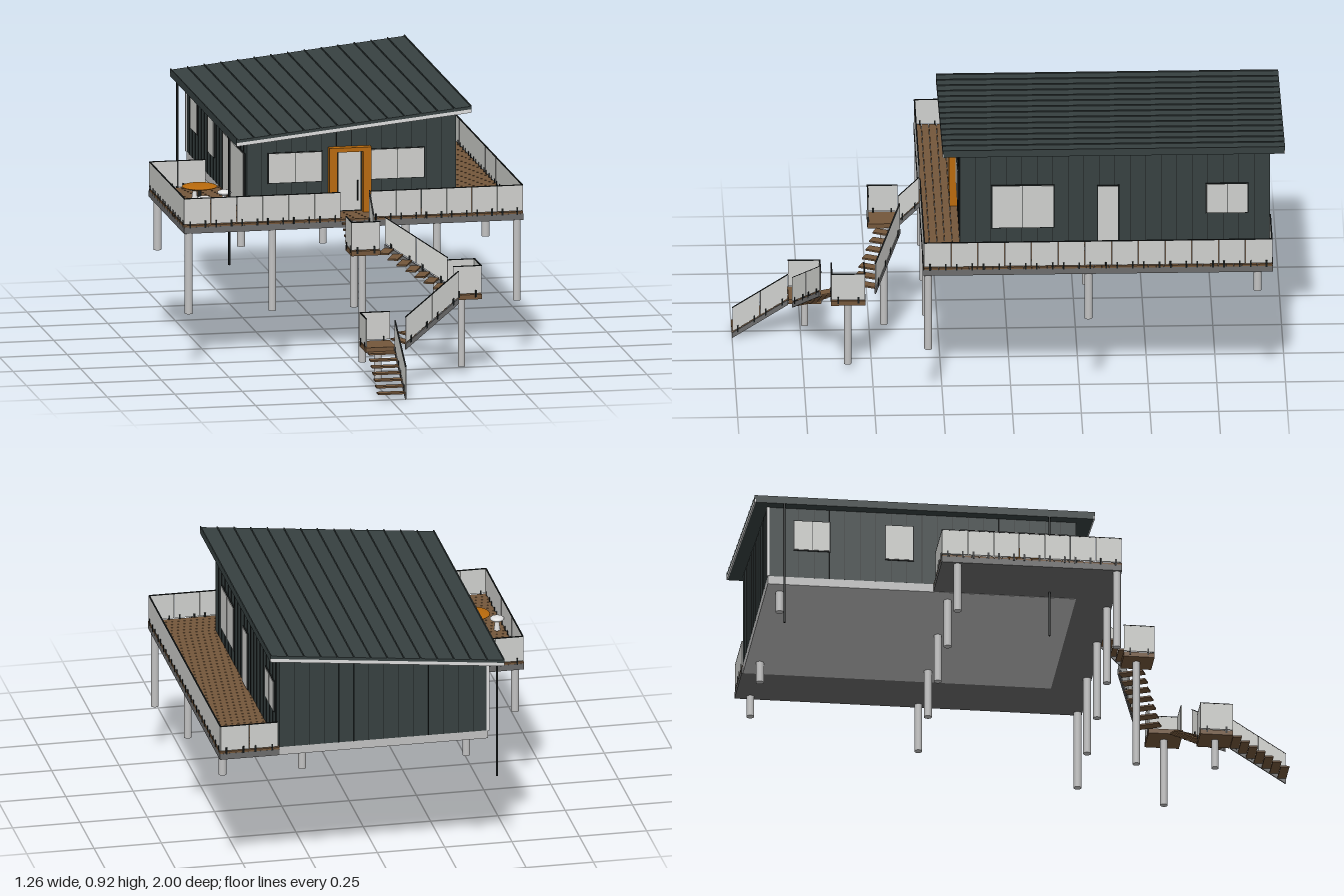
import * as THREE from 'three';

const mat = (name, color) => Object.assign(new THREE.MeshStandardMaterial({ color }), { name });
const M = {
  cladding: mat('dark cladding', 0x374141),
  seam: mat('black metal', 0x171b1b),
  glass: mat('pale glass', 0xcfd0cd),
  post: mat('pale concrete', 0xc2c2c2),
  frame: mat('grey steel', 0x6c6c6c),
  wood: mat('deck wood', 0x74573b),
  orange: mat('orange timber', 0xb96a0c),
  white: mat('white paint', 0xdedede),
};

// Box given by its minimum and maximum corners
function box(parent, name, m, x0, x1, y0, y1, z0, z1) {
  const mesh = new THREE.Mesh(new THREE.BoxGeometry(x1 - x0, y1 - y0, z1 - z0), m);
  mesh.position.set((x0 + x1) / 2, (y0 + y1) / 2, (z0 + z1) / 2);
  mesh.name = name;
  parent.add(mesh);
  return mesh;
}

// Polygon in x,y pushed along z
function prism(parent, name, m, pts, z0, z1) {
  const shape = new THREE.Shape(pts.map(p => new THREE.Vector2(...p)));
  const mesh = new THREE.Mesh(new THREE.ExtrudeGeometry(shape, { depth: z1 - z0, bevelEnabled: false }), m);
  mesh.position.z = z0;
  mesh.name = name;
  parent.add(mesh);
  return mesh;
}

function cylinder(parent, name, m, x, z, y0, y1, r, r2 = r) {
  const mesh = new THREE.Mesh(new THREE.CylinderGeometry(r2, r, y1 - y0, 16), m);
  mesh.position.set(x, (y0 + y1) / 2, z);
  mesh.name = name;
  parent.add(mesh);
}

// Group whose local x runs from a towards b on plan
function along(parent, name, a, b) {
  const g = new THREE.Group();
  const dx = b[0] - a[0], dz = b[2] - a[2];
  g.name = name;
  g.position.set(...a);
  g.rotation.y = Math.atan2(-dz, dx);
  parent.add(g);
  return { g, len: Math.hypot(dx, dz), rise: b[1] - a[1] };
}

// Glass balustrade with cap and foot clips; works level or sloping
function railing(parent, name, a, b, h = 0.1) {
  const { g, len, rise } = along(parent, name, a, b);
  const n = Math.max(1, Math.round(len / 0.1));
  const y = s => rise * s / len;
  const strip = (label, m, s0, s1, lo, hi, t) => prism(g, label, m,
    [[s0, y(s0) + lo], [s1, y(s1) + lo], [s1, y(s1) + hi], [s0, y(s0) + hi]], -t, t);
  for (let i = 0; i < n; i++) {
    const s0 = i * len / n + 0.001, s1 = (i + 1) * len / n - 0.001, w = s1 - s0;
    strip('glassPanel', M.glass, s0, s1, 0.004, h - 0.002, 0.002);
    for (const f of [0.2, 0.8]) {
      const s = s0 + w * f;
      strip('clip', M.seam, s - 0.003, s + 0.003, -0.01, 0.016, 0.004);
    }
  }
  strip('cap', M.seam, 0, len, h - 0.002, h + 0.001, 0.0025);
}

// Flight of open treads with a stringer and balustrade on one side
function flight(parent, name, a, b, n, width) {
  const { g, len, rise } = along(parent, name, a, b);
  for (let i = 0; i < n; i++) {
    const s = (i + 0.5) * len / n, y = rise * (i + 0.6) / n;
    box(g, 'tread', M.wood, s - len / n * 0.55, s + len / n * 0.55, y - 0.006, y, -width / 2, width / 2);
  }
  const side = -width / 2 - 0.002;
  prism(g, 'stringer', M.frame, [[0, -0.018], [len, rise - 0.018], [len, rise + 0.002], [0, 0.002]], side - 0.003, side + 0.003);
  railing(g, 'flightRailing', [0, 0.003, side], [len, rise + 0.003, side]);
}

// Window or glazed door on a wall facing x or z, split into panes
function glazing(parent, name, axis, at, out, u0, u1, y0, y1, panes) {
  const plate = (label, m, a, b, lo, hi, t) => {
    const d0 = Math.min(at, at + out * t), d1 = Math.max(at, at + out * t);
    if (axis === 'z') box(parent, label, m, a, b, lo, hi, d0, d1);
    else box(parent, label, m, d0, d1, lo, hi, a, b);
  };
  plate(name + 'Frame', M.seam, u0 - 0.003, u1 + 0.003, y0 - 0.003, y1 + 0.003, 0.005);
  const w = (u1 - u0) / panes;
  for (let i = 0; i < panes; i++)
    plate(name, M.glass, u0 + i * w + 0.001, u0 + (i + 1) * w - 0.001, y0, y1, 0.007);
}

const X0 = -0.37, X1 = 0.405, Z0 = -0.946, Z1 = 0.182, FLOOR = 0.53;
const SLOPE = 0.09 / 0.87;
const eave = x => 0.8 + (x + 0.42) * SLOPE;
const roofBand = (lo, hi) => [[-0.42, eave(-0.42) + lo], [0.45, eave(0.45) + lo], [0.45, eave(0.45) + hi], [-0.42, eave(-0.42) + hi]];

function buildHouse(root) {
  const house = new THREE.Group();
  house.name = 'house';
  root.add(house);
  box(house, 'floorSlab', M.post, X0, X1, 0.499, FLOOR, Z0, Z1);
  prism(house, 'walls', M.cladding, [[X0, FLOOR], [X1, FLOOR], [X1, eave(X1)], [X0, eave(X0)]], Z0, Z1);

  // Vertical cladding seams
  for (let i = 1; i < 14; i++) {
    const x = X0 + (X1 - X0) * i / 14;
    for (const z of [Z0, Z1]) box(house, 'claddingSeam', M.seam, x - 0.001, x + 0.001, FLOOR, eave(x), z - 0.002, z + 0.002);
  }
  for (let i = 1; i < 20; i++) {
    const z = Z0 + (Z1 - Z0) * i / 20;
    for (const x of [X0, X1]) box(house, 'claddingSeam', M.seam, x - 0.002, x + 0.002, FLOOR, eave(x), z - 0.001, z + 0.001);
  }
  box(house, 'cornerTrim', M.white, X0 - 0.004, X0 + 0.006, FLOOR, eave(X0), Z0 - 0.004, Z0 + 0.006);

  // Roof with standing seams and pale gable trim
  prism(house, 'roof', M.cladding, roofBand(0, 0.024), -0.996, 0.241);
  for (const z of [-1, 0.241]) prism(house, 'gableTrim', M.white, roofBand(0, 0.013), z, z + 0.004);
  for (const z of [-1, 0.241]) prism(house, 'roofEdge', M.cladding, roofBand(0.013, 0.024), z, z + 0.004);
  for (let i = 0; i <= 14; i++) {
    const x = -0.418 + 0.866 * i / 14;
    box(house, 'roofSeam', M.cladding, x - 0.002, x + 0.002, eave(x) + 0.022, eave(x) + 0.028, -1, 0.245);
  }
  for (const z of [-0.89, 0.08]) cylinder(house, 'downpipe', M.seam, -0.415, z, 0.325, 0.805, 0.004);

  // Windows
  glazing(house, 'frontWindow', 'z', Z1, 1, -0.29, -0.093, 0.647, 0.755, 2);
  glazing(house, 'frontWindow', 'z', Z1, 1, 0.09, 0.287, 0.647, 0.755, 2);
  glazing(house, 'sideWindow', 'x', X1, 1, -0.16, 0.065, 0.59, 0.755, 2);
  glazing(house, 'sideDoor', 'x', X1, 1, -0.395, -0.32, 0.535, 0.75, 1);
  glazing(house, 'sideWindow', 'x', X1, 1, -0.865, -0.715, 0.64, 0.753, 2);
  glazing(house, 'backWindow', 'x', X0, -1, -0.85, -0.72, 0.64, 0.753, 2);
  glazing(house, 'bathWindow', 'x', X0, -1, -0.515, -0.415, 0.62, 0.753, 1);
  glazing(house, 'slidingDoor', 'x', X0, -1, -0.24, 0.15, 0.535, 0.75, 4);

  // Front door in an orange surround
  glazing(house, 'frontDoor', 'z', Z1, 1, -0.033, 0.05, 0.535, 0.75, 1);
  box(house, 'doorHandle', M.seam, 0.037, 0.041, 0.57, 0.645, Z1 + 0.007, Z1 + 0.015);
  box(house, 'doorJamb', M.orange, -0.069, -0.039, FLOOR, 0.757, Z1, 0.21);
  box(house, 'doorJamb', M.orange, 0.056, 0.086, FLOOR, 0.757, Z1, 0.21);
  box(house, 'doorHead', M.orange, -0.069, 0.086, 0.755, 0.771, Z1, 0.212);
}

function buildDeck(root) {
  const deck = new THREE.Group();
  deck.name = 'deck';
  root.add(deck);
  const areas = [[-0.63, X0, -0.34, Z1], [X1, 0.627, -0.95, Z1], [-0.63, 0.627, Z1, 0.32]];
  for (const [x0, x1, z0, z1] of areas) {
    box(deck, 'deckFrame', M.frame, x0, x1, 0.5, 0.523, z0, z1);
    const n = Math.round((z1 - z0) / 0.028), w = (z1 - z0) / n;
    for (let i = 0; i < n; i++)
      box(deck, 'plank', M.wood, x0, x1, 0.523, FLOOR, z0 + i * w + 0.0007, z0 + (i + 1) * w - 0.0007);
  }
  // Balustrades, open at the stairs
  const y = FLOOR, L = -0.627, R = 0.624, F = 0.317;
  const runs = [[L, -0.337, -0.42, -0.337], [L, -0.337, L, F], [L, F, -0.05, F],
    [0.062, F, R, F], [R, F, R, -0.947], [R, -0.947, 0.41, -0.947]];
  for (const [ax, az, bx, bz] of runs) railing(deck, 'deckRailing', [ax, y, az], [bx, y, bz]);

  // Pillars follow the rising ground
  const rows = [[0.303, 0.2, [-0.61, -0.3, 0.003, 0.31, 0.606]],
    [-0.28, 0.315, [-0.61, -0.3, 0.003, 0.31, 0.606]], [-0.895, 0.42, [-0.3, 0.31, 0.606]]];
  for (const [z, y0, xs] of rows) for (const x of xs) cylinder(deck, 'pillar', M.post, x, z, y0, 0.502, 0.0145);

  // Round table and stools
  const cx = -0.505, cz = -0.022;
  const top = new THREE.Mesh(new THREE.SphereGeometry(0.065, 32, 12), M.orange);
  top.name = 'tableTop';
  top.scale.y = 0.13;
  top.position.set(cx, 0.6, cz);
  deck.add(top);
  cylinder(deck, 'tableLeg', M.seam, cx, cz, FLOOR, 0.6, 0.008);
  for (let i = 0; i < 4; i++) {
    const a = i * Math.PI / 2, x = cx + Math.cos(a) * 0.092, z = cz + Math.sin(a) * 0.092;
    const seat = new THREE.Mesh(new THREE.SphereGeometry(0.026, 16, 10), M.white);
    seat.name = 'stoolSeat';
    seat.scale.y = 0.4;
    seat.position.set(x, 0.574, z);
    deck.add(seat);
    cylinder(deck, 'stoolLeg', M.white, x, z, FLOOR, 0.575, 0.012, 0.006);
  }
}

function buildStairs(root) {
  const stairs = new THREE.Group();
  stairs.name = 'stairs';
  root.add(stairs);
  // Landings: extents, top height, post, railed edges
  const landings = [
    [-0.047, 0.06, 0.395, 0.508, 0.45, [0.005, 0.447], ['front', 'left']],
    [0.283, 0.408, 0.525, 0.65, 0.302, [0.345, 0.588], ['front', 'right', 'back']],
    [-0.051, 0.062, 0.675, 0.795, 0.152, [0.005, 0.735], ['back', 'left']],
  ];
  for (const [x0, x1, z0, z1, y, [px, pz], edges] of landings) {
    box(stairs, 'landing', M.wood, x0, x1, y - 0.018, y, z0, z1);
    cylinder(stairs, 'landingPost', M.post, px, pz, 0.025, y - 0.017, 0.0135);
    const e = 0.003, xi = x0 > 0.2 ? x0 + 0.02 : x0;
    const ends = { front: [xi, z1 - e, x1, z1 - e], back: [xi, z0 + e, x1, z0 + e],
      left: [x0 + e, z0, x0 + e, z1], right: [x1 - e, z0, x1 - e, z1] };
    for (const k of edges) {
      const [ax, az, bx, bz] = ends[k];
      railing(stairs, 'landingRailing', [ax, y, az], [bx, y, bz], 0.107);
    }
  }
  flight(stairs, 'topFlight', [0.005, 0.53, 0.32], [0.005, 0.455, 0.397], 4, 0.1);
  flight(stairs, 'upperFlight', [0.08, 0.445, 0.435], [0.295, 0.305, 0.53], 7, 0.09);
  flight(stairs, 'lowerFlight', [0.295, 0.297, 0.645], [0.08, 0.155, 0.738], 7, 0.09);
  flight(stairs, 'bottomFlight', [0.005, 0.148, 0.797], [0.005, 0.018, 1], 7, 0.1);
}

export function createModel() {
  const root = new THREE.Group();
  root.name = 'stiltHouse';
  buildHouse(root);
  buildDeck(root);
  buildStairs(root);
  return root;
}
